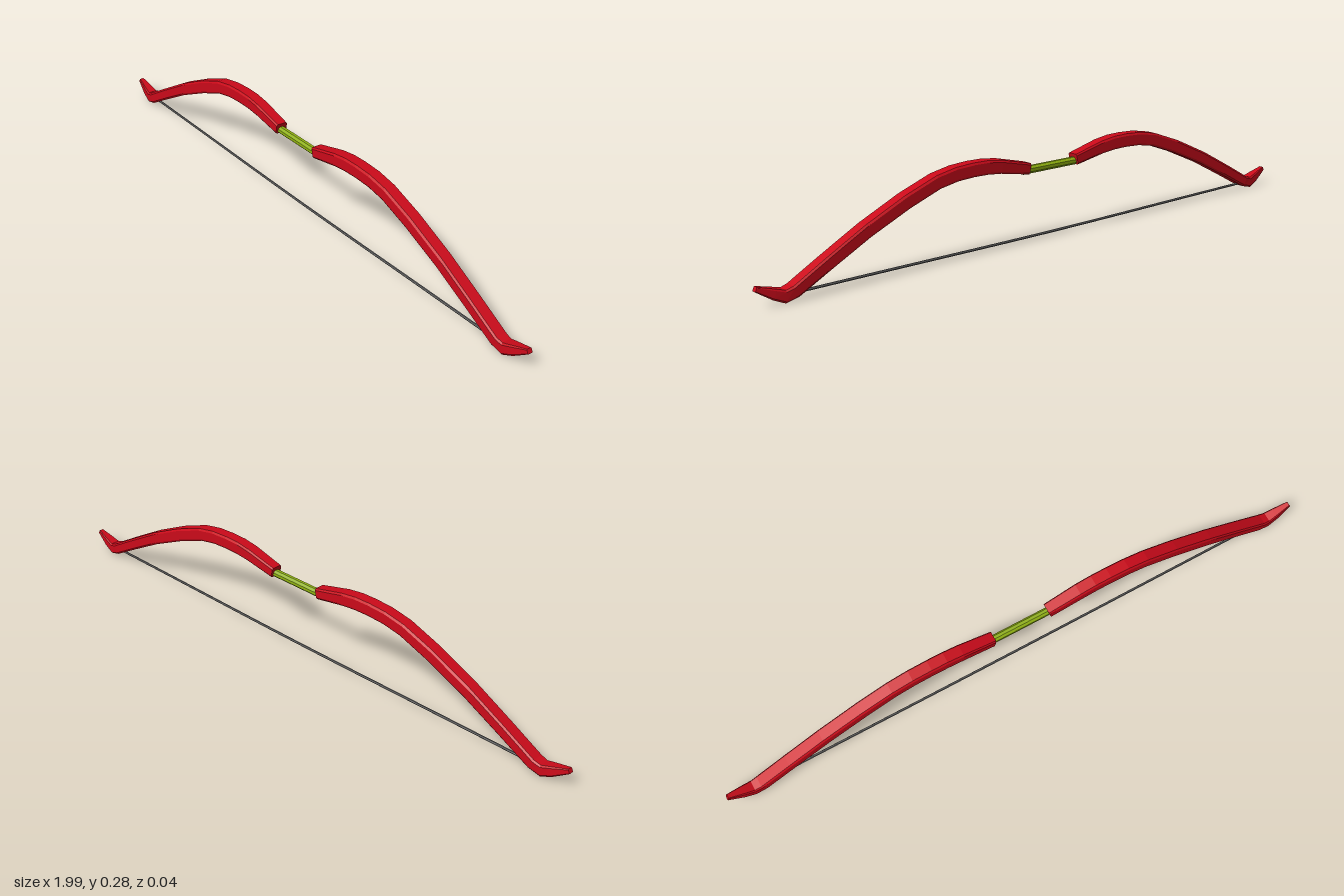
import * as THREE from 'three';

const material = (color) => new THREE.MeshStandardMaterial({ color, flatShading: true, side: THREE.DoubleSide });

// Sweep a chamfered rectangle along stations [x, y, halfThickness, halfWidth]
function limbGeometry(stations) {
  const pos = [], index = [], n = 8;
  stations.forEach(([x, y, t, w], i) => {
    const a = stations[Math.max(i - 1, 0)];
    const b = stations[Math.min(i + 1, stations.length - 1)];
    const dir = new THREE.Vector2(b[0] - a[0], b[1] - a[1]).normalize();
    const ct = t * 0.3, cw = w * 0.2;
    const ring = [
      [t, w - cw], [t - ct, w], [ct - t, w], [-t, w - cw],
      [-t, cw - w], [ct - t, -w], [t - ct, -w], [t, cw - w],
    ];
    for (const [u, z] of ring) pos.push(x - dir.y * u, y + dir.x * u, z);
  });
  const last = (stations.length - 1) * n;
  for (let i = 0; i < last; i += n) {
    for (let j = 0; j < n; j++) {
      const k = (j + 1) % n;
      index.push(i + j, i + k, i + n + j, i + k, i + n + k, i + n + j);
    }
  }
  // end caps
  for (let j = 1; j < n - 1; j++) {
    index.push(0, j + 1, j, last, last + j, last + j + 1);
  }
  // reverse the winding so the faces point outward
  for (let i = 0; i < index.length; i += 3) {
    [index[i + 1], index[i + 2]] = [index[i + 2], index[i + 1]];
  }
  const g = new THREE.BufferGeometry();
  g.setAttribute('position', new THREE.Float32BufferAttribute(pos, 3));
  g.setIndex(index);
  const flat = g.toNonIndexed();
  flat.computeVertexNormals();
  // make sure the winding is outward, judged by signed volume
  const p = flat.attributes.position, v = [0, 1, 2].map(() => new THREE.Vector3());
  let volume = 0;
  for (let i = 0; i < p.count; i += 3) {
    v.forEach((q, k) => q.fromBufferAttribute(p, i + k));
    volume += v[0].dot(v[1].clone().cross(v[2]));
  }
  if (volume < 0) {
    for (let i = 0; i < p.count; i += 3) {
      v.forEach((q, k) => q.fromBufferAttribute(p, i + k));
      p.setXYZ(i + 1, v[2].x, v[2].y, v[2].z);
      p.setXYZ(i + 2, v[1].x, v[1].y, v[1].z);
    }
    flat.computeVertexNormals();
  }
  return flat;
}

export function createModel() {
  const bow = new THREE.Group();
  bow.name = 'bow';

  // curved limbs with upturned, tapering tips
  const limb = limbGeometry([
    [0.093, 0.227, 0.017, 0.019],
    [0.2, 0.25, 0.02, 0.021],
    [0.25, 0.256, 0.021, 0.021],
    [0.3, 0.257, 0.021, 0.021],
    [0.36, 0.254, 0.021, 0.021],
    [0.425, 0.242, 0.021, 0.021],
    [0.53, 0.204, 0.021, 0.021],
    [0.66, 0.146, 0.02, 0.021],
    [0.78, 0.083, 0.019, 0.021],
    [0.885, 0.026, 0.018, 0.021],
    [0.915, 0.018, 0.018, 0.019],
    [0.945, 0.03, 0.015, 0.016],
    [0.994, 0.053, 0.007, 0.008],
  ]);
  const red = material(0xcc0a1a);
  for (const [name, turn] of [['leftLimb', 0], ['rightLimb', Math.PI]]) {
    const mesh = new THREE.Mesh(limb, red);
    mesh.name = name;
    mesh.rotation.y = turn;
    bow.add(mesh);
  }

  // handle between the limbs
  const grip = new THREE.Mesh(new THREE.CylinderGeometry(0.0125, 0.0125, 0.22, 8), material(0x8fb010));
  grip.name = 'grip';
  grip.rotation.set(Math.PI / 8, 0, Math.PI / 2);
  grip.position.y = 0.221;
  bow.add(grip);

  // slightly sagging string
  const path = new THREE.CatmullRomCurve3(
    [[-0.89, 0.018], [-0.6, 0.016], [0, 0.012], [0.6, 0.016], [0.89, 0.018]]
      .map(([x, y]) => new THREE.Vector3(x, y, 0)));
  const string = new THREE.Mesh(new THREE.TubeGeometry(path, 12, 0.004, 6), material(0x666666));
  string.name = 'bowString';
  bow.add(string);

  return bow;
}
